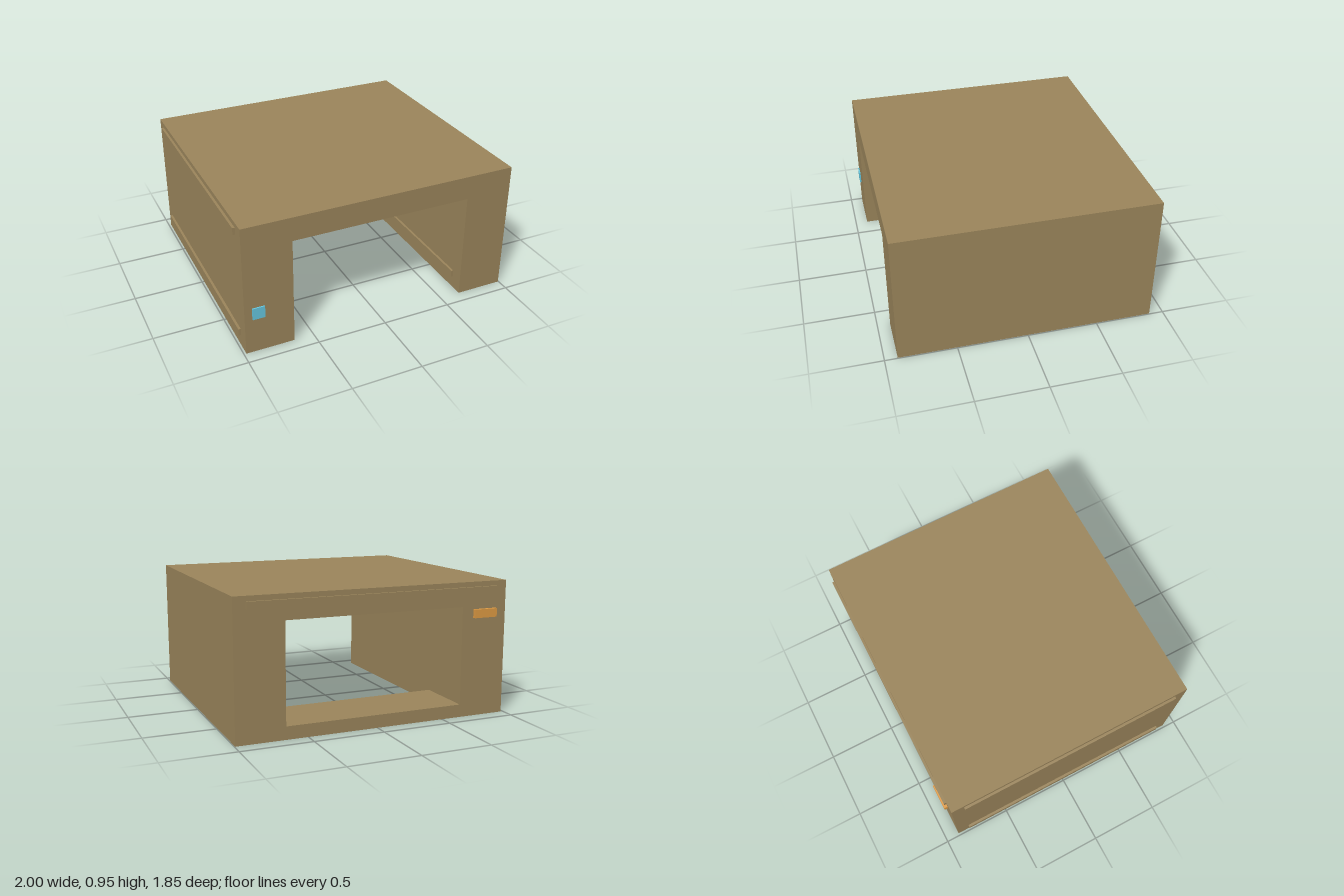
import * as THREE from 'three';

const mat = (color) => new THREE.MeshStandardMaterial({ color });

export function createModel() {
  const model = new THREE.Group();
  const tan = mat(0x9c865c);
  const blue = mat(0x66c8e0);
  const orange = mat(0xe09c44);

  // Box given by its extents along each axis
  function box(name, [x0, x1], [y0, y1], [z0, z1], material = tan) {
    const mesh = new THREE.Mesh(new THREE.BoxGeometry(x1 - x0, y1 - y0, z1 - z0), material);
    mesh.position.set((x0 + x1) / 2, (y0 + y1) / 2, (z0 + z1) / 2);
    mesh.name = name;
    model.add(mesh);
  }

  const left = 0.995, right = -0.983, top = 0.95, front = 0.91, back = -0.9;
  const openLeft = 0.653, openRight = -0.64, openTop = 0.78, sillTop = 0.09;

  // Arch-shaped housing: two legs and a roof around a through opening
  const arch = new THREE.Shape([
    [right, 0], [openRight, 0], [openRight, openTop], [openLeft, openTop],
    [openLeft, 0], [left, 0], [left, top], [right, top],
  ].map(([x, y]) => new THREE.Vector2(x, y)));
  const housing = new THREE.Mesh(
    new THREE.ExtrudeGeometry(arch, { depth: front - back, bevelEnabled: false }), tan);
  housing.position.z = back;
  housing.name = 'housing';
  model.add(housing);

  // Low sill joining the legs at the back
  box('rearSill', [openRight, openLeft], [0, sillTop], [back, -0.47]);

  // Thin rails on the right side, the inner left wall and the back
  const low = [0.09, 0.14], high = [0.865, 0.915], run = [-0.81, 0.82];
  box('lowerSideRail', [-1, right], low, run);
  box('upperSideRail', [-1, right], high, run);
  box('innerRail', [0.636, openLeft], low, run);
  box('rearRail', [-0.9, 0.91], high, [-0.917, back]);

  // Small coloured plates
  box('frontPanel', [-0.93, -0.843], [0.262, 0.348], [front, 0.92], blue);
  box('rearLabel', [-0.9, -0.725], [0.7, 0.76], [-0.925, back], orange);

  return model;
}
